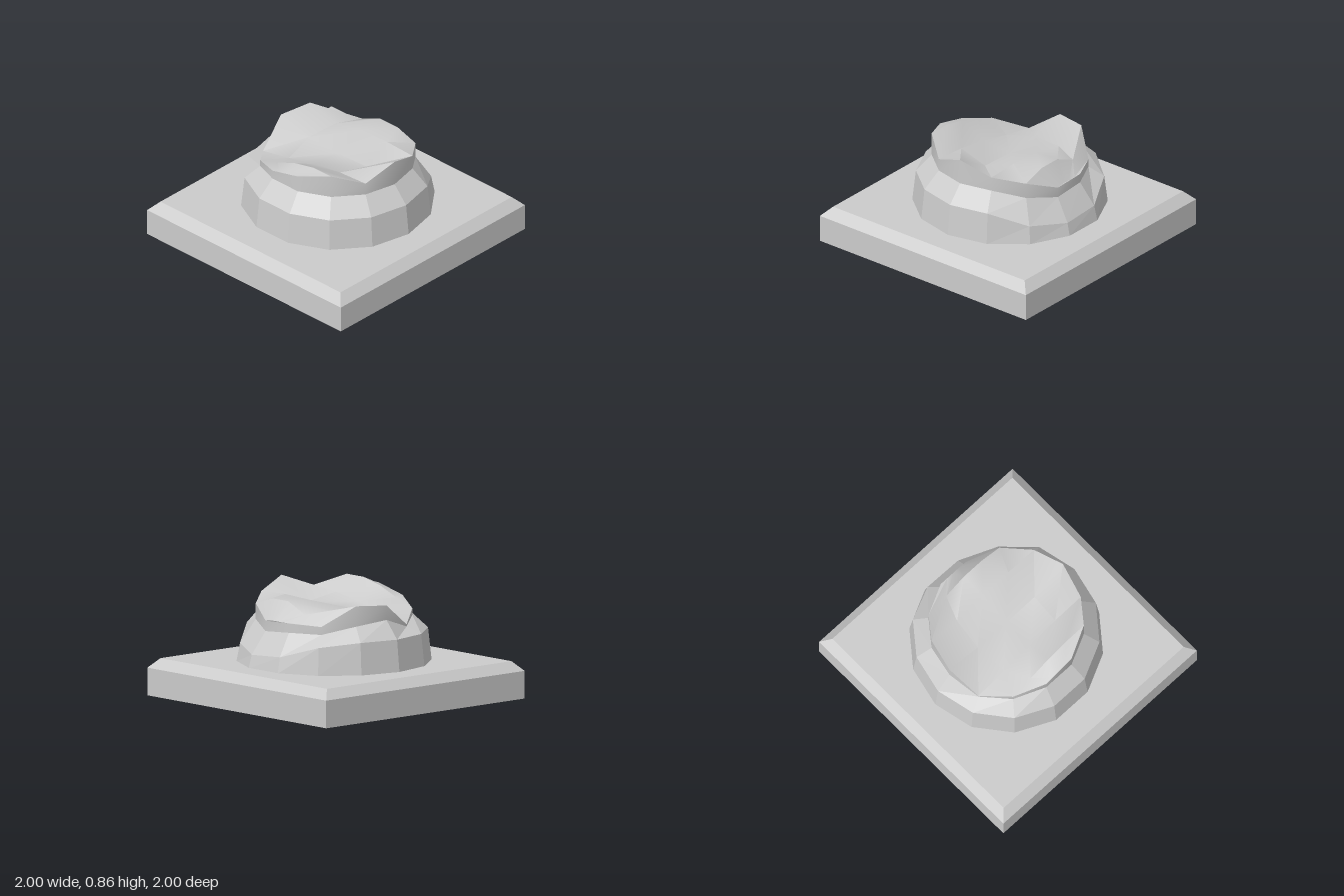
import * as THREE from 'three';
import { toCreasedNormals } from 'three/addons/utils/BufferGeometryUtils.js';

const SIDES = 14, CENTRE_Z = -0.02, RIM = 0.587;

// Broken top: rows from front to back, heights from left rim to right rim
const CAP = [
  [0.73, 0.745, 0.76, 0.775, 0.79],
  [0.67, 0.73, 0.80, 0.84, 0.84],
  [0.59, 0.64, 0.70, 0.74, 0.755],
  [0.77, 0.70, 0.68, 0.69, 0.857],
  [0.785, 0.715, 0.77, 0.78, 0.77],
  [0.63, 0.70, 0.78, 0.78, 0.72],
  [0.64, 0.64, 0.64, 0.64, 0.63],
];
// Ring heights, starting at +x and turning towards +z
const SHOULDER = [0.66, 0.66, 0.66, 0.66, 0.66, 0.62, 0.575, 0.66, 0.63, 0.57, 0.57, 0.55, 0.60, 0.66];
const BELLY = [0.525, 0.525, 0.525, 0.525, 0.525, 0.525, 0.525, 0.525, 0.525, 0.49, 0.40, 0.38, 0.42, 0.525];

const material = (flatShading) => new THREE.MeshStandardMaterial({ color: 0xcccccc, flatShading, side: THREE.DoubleSide });

function ringPoint(k, radius, y) {
  const a = (k / SIDES) * Math.PI * 2;
  return [radius * Math.cos(a), y, CENTRE_Z + radius * Math.sin(a)];
}

function surface(points, index) {
  const geometry = new THREE.BufferGeometry();
  geometry.setAttribute('position', new THREE.Float32BufferAttribute(points.flat(), 3));
  geometry.setIndex(index);
  geometry.computeVertexNormals();
  return geometry;
}

// Bands joining two rings, facing outwards
function bandGeometry(lower, upper) {
  const index = [];
  for (let k = 0; k < SIDES; k++) {
    const n = (k + 1) % SIDES;
    index.push(n, k, SIDES + k, n, SIDES + k, SIDES + n);
  }
  return surface([...lower, ...upper], index);
}

// Cap as rows of points across the rim polygon
function capGeometry() {
  const points = [], index = [], cols = CAP[0].length;
  CAP.forEach((row, r) => {
    const [halfWidth, , z] = ringPoint(3 - r, RIM, 0);
    row.forEach((y, c) => {
      points.push([halfWidth * (2 * c / (cols - 1) - 1), y, z]);
      if (r && c) {
        const d = r * cols + c, a = d - cols;
        index.push(a - 1, a, d, a - 1, d, d - 1);
      }
    });
  });
  return surface(points, index);
}

export function createModel() {
  const model = new THREE.Group();
  const add = (name, geometry, flat = true) => {
    const mesh = new THREE.Mesh(geometry, material(flat));
    mesh.name = name;
    model.add(mesh);
    return mesh;
  };

  // Square plinth with a bevelled top edge
  add('plinth', new THREE.BoxGeometry(2, 0.21, 2)).position.y = 0.105;
  const bevel = new THREE.CylinderGeometry(0.93 * Math.SQRT2, Math.SQRT2, 0.073, 4);
  add('plinthBevel', bevel.rotateY(Math.PI / 4)).position.y = 0.2465;

  // Column foot: drum, chipped shoulder and broken shaft
  const ring = (radius, height) => Array.from({ length: SIDES }, (_, k) => ringPoint(k, radius, height(k)));
  const rimHeight = (k) => {
    const right = (3 - k + SIDES) % SIDES;
    return right < 7 ? CAP[right][4] : CAP[k - 4][0];
  };
  const foot = ring(0.732, () => 0.28);
  const belly = ring(0.705, (k) => BELLY[k]);
  const shoulder = ring(RIM, (k) => SHOULDER[k]);
  const rim = ring(RIM, rimHeight);
  add('columnDrum', bandGeometry(foot, belly));
  add('columnShoulder', bandGeometry(belly, shoulder));
  add('brokenShaft', toCreasedNormals(bandGeometry(shoulder, rim), 0.6), false);
  add('brokenTop', toCreasedNormals(capGeometry(), 0.6), false);
  return model;
}
